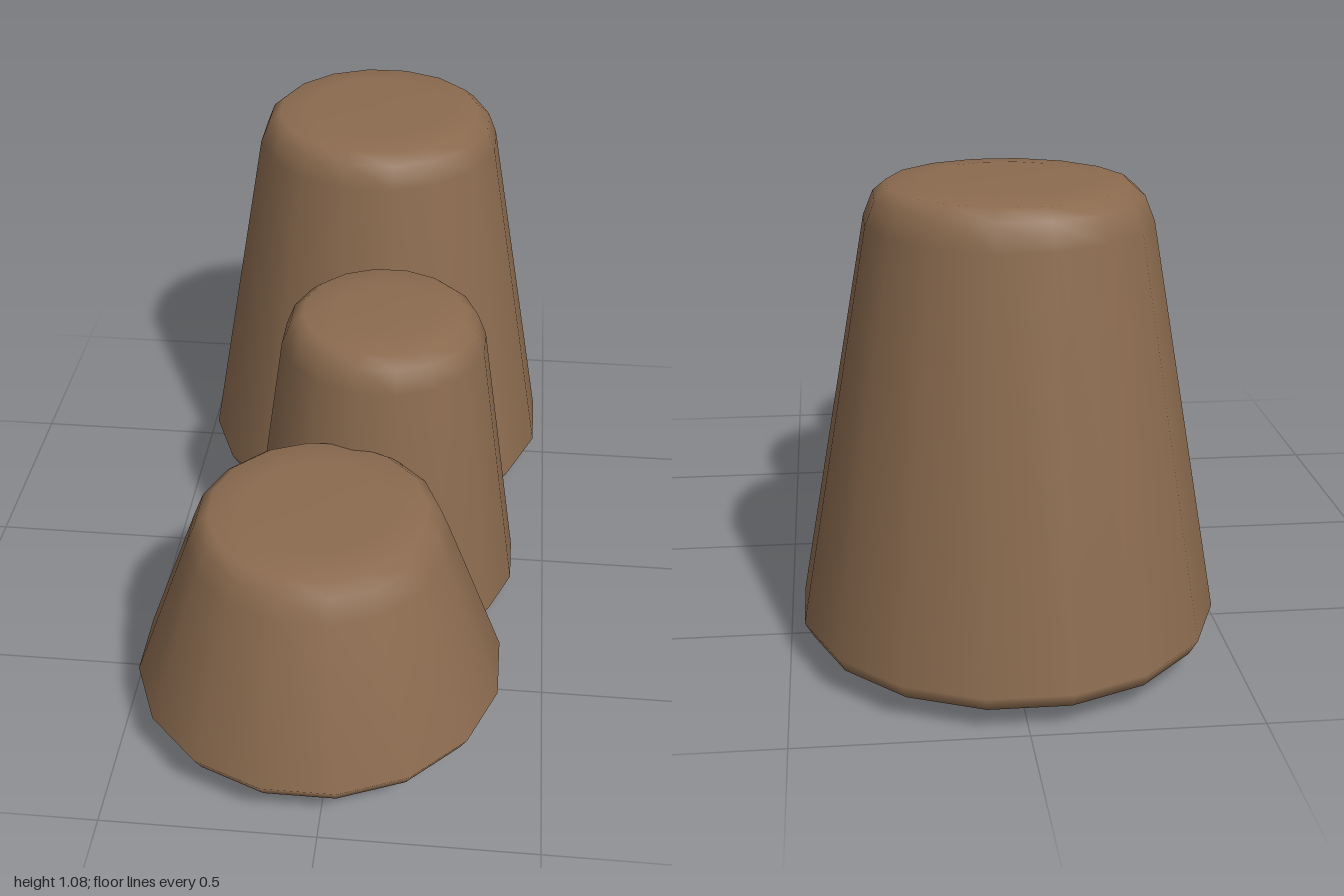
import * as THREE from 'three';

const SIDES = 16;

// One tapered rock pillar with softly rounded top and bottom rims.
function makePillar(name, material, { x, z, bottom, top, rBottom, rTop }) {
  const profile = [
    [0, bottom],
    [rBottom - 0.07, bottom + 0.008],
    [rBottom - 0.02, bottom + 0.025],
    [rBottom, bottom + 0.06],
    [rTop + 0.012, top - 0.09],
    [rTop - 0.01, top - 0.035],
    [rTop - 0.04, top - 0.01],
    [rTop - 0.12, top - 0.003],
    [0, top],
  ].map(([r, y]) => new THREE.Vector2(r, y));
  const geometry = new THREE.LatheGeometry(profile, SIDES, Math.PI / SIDES);
  const pillar = new THREE.Mesh(geometry, material);
  pillar.name = name;
  pillar.position.set(x, 0, z);
  return pillar;
}

export function createModel() {
  const group = new THREE.Group();
  group.name = 'steppedRocks';
  const rock = new THREE.MeshStandardMaterial({ color: 0x8b6b4f });

  // Tall back, medium middle and low front pillars, slightly overlapping
  group.add(
    makePillar('tallRock', rock, { x: 0, z: -0.535, bottom: 0.03, top: 1.083, rBottom: 0.475, rTop: 0.305 }),
    makePillar('middleRock', rock, { x: 0.067, z: 0.075, bottom: 0, top: 0.833, rBottom: 0.352, rTop: 0.24 }),
    makePillar('lowRock', rock, { x: -0.04, z: 0.567, bottom: 0.08, top: 0.604, rBottom: 0.437, rTop: 0.29 }),
  );
  return group;
}
